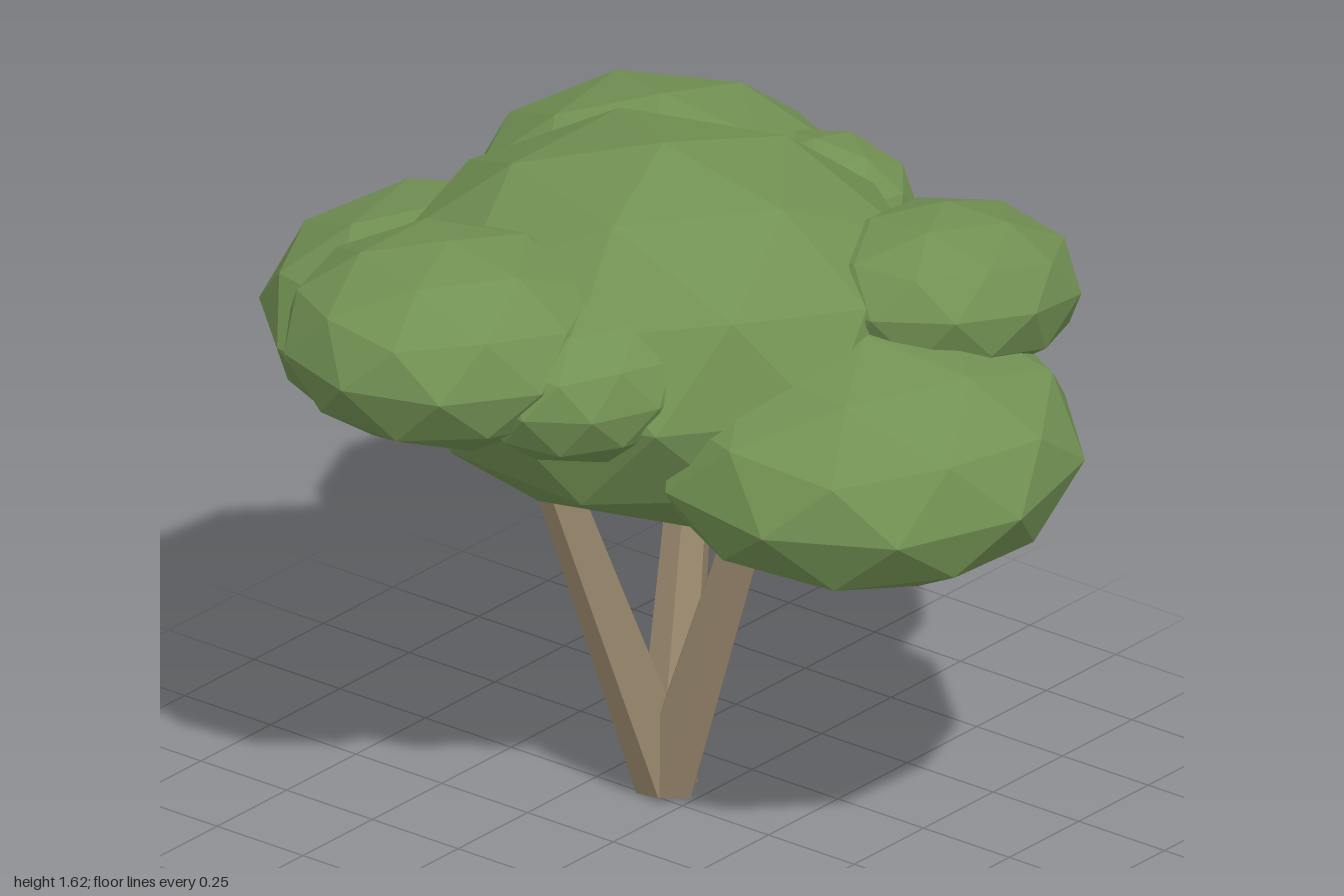
import * as THREE from 'three';

const leafGreen = new THREE.MeshStandardMaterial({ color: 0x729153 });
leafGreen.name = 'leaf green';
const barkBrown = new THREE.MeshStandardMaterial({ color: 0x97866c });
barkBrown.name = 'bark brown';

// Faceted ball with one corner straight up, squashed into a leaf clump.
// turn: [pitch, yaw, roll] of the clump; spin turns only its facets
function clump(name, [x, y, z], [rx, ry, rz], spin = 0, turn = [0, 0, 0]) {
  const geo = new THREE.IcosahedronGeometry(1, 1);
  geo.rotateX(-Math.atan((1 + Math.sqrt(5)) / 2));
  geo.rotateY(spin);
  geo.scale(rx, ry, rz);
  geo.computeVertexNormals(); // unshared corners give flat facets
  const mesh = new THREE.Mesh(geo, leafGreen);
  mesh.name = name;
  mesh.position.set(x, y, z);
  mesh.rotation.set(...turn);
  return mesh;
}

// Tapered six-sided stem; dx and dz are its drift at 0.8 above the shared foot
function stem(name, dx, dz) {
  const length = 1.0;
  const geo = new THREE.CylinderGeometry(0.043, 0.074, length, 6).toNonIndexed();
  geo.translate(0, length / 2, 0);
  geo.computeVertexNormals();
  geo.rotateX(Math.atan(Math.hypot(dx, dz) / 0.8));
  const mesh = new THREE.Mesh(geo, barkBrown);
  mesh.name = name;
  mesh.position.set(0.04, 0.023, -0.08);
  mesh.rotation.y = Math.atan2(dx, dz);
  return mesh;
}

export function createModel() {
  const tree = new THREE.Group();
  tree.name = 'tree';

  // Three spreading stems
  const trunk = new THREE.Group();
  trunk.name = 'trunk';
  trunk.add(
    stem('frontStem', 0, 0.265),
    stem('leftStem', 0.26, -0.125),
    stem('rightStem', -0.215, -0.16),
  );

  // Large middle clump with the smaller ones around it
  const canopy = new THREE.Group();
  canopy.name = 'canopy';
  canopy.add(
    clump('middleClump', [0.04, 1.175, -0.09], [0.63, 0.44, 0.665]),
    clump('frontClump', [0.04, 1.035, 0.5], [0.505, 0.28, 0.505], 0.2, [0.04, 0, 0.06]),
    clump('frontLeftClump', [0.38, 1.285, 0.455], [0.37, 0.205, 0.305], 0, [-0.08, 0.22, -0.17]),
    clump('rightClump', [-0.55, 1.305, -0.235], [0.39, 0.235, 0.385]),
    clump('smallRightClump', [-0.43, 1.24, 0.06], [0.28, 0.185, 0.24], 0.4, [0, -0.2, 0]),
    clump('backClump', [-0.135, 1.12, -0.555], [0.45, 0.275, 0.45], 0.2),
    clump('backLeftClump', [0.495, 1.165, -0.46], [0.45, 0.3, 0.475], 0.15),
    clump('smallLeftClump', [0.65, 1.205, -0.14], [0.24, 0.185, 0.24], 0.3),
  );

  tree.add(trunk, canopy);
  return tree;
}
